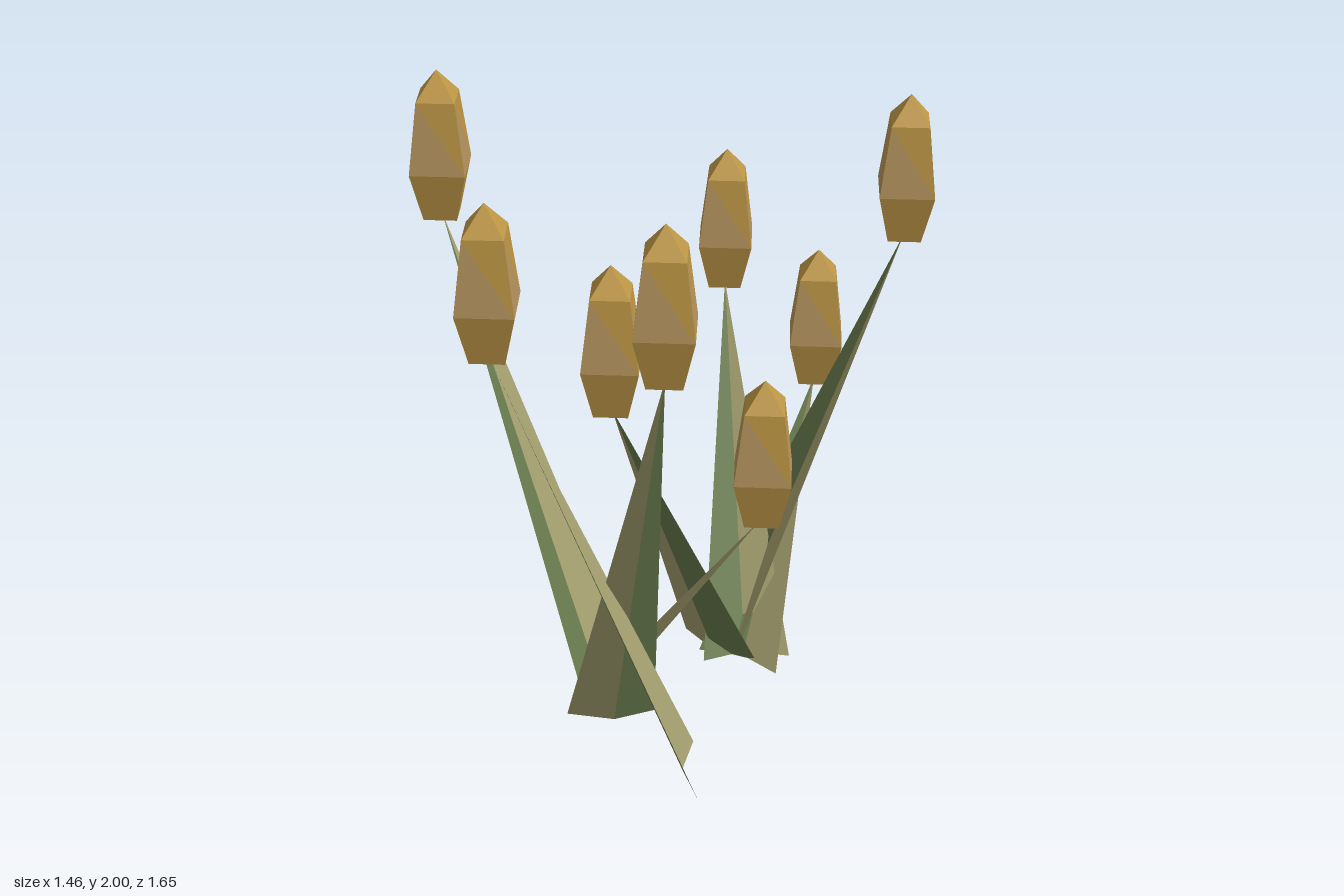
import * as THREE from 'three';

const mat = (name, color, opts = {}) => {
  const m = new THREE.MeshStandardMaterial({ color, flatShading: true, ...opts });
  m.name = name;
  return m;
};

// tip: base point of the flower head; khaki / green: outer corners [x, z] of the folded blade on the ground
const STEMS = [
  { tip: [-0.62, 1.53, 0.085], khaki: [-0.02, 0.0], green: [-0.05, 0.28] },
  { tip: [-0.11, 1.47, 0.71], khaki: [0.35, 0.31], green: [0.48, 0.56] },
  { tip: [0.43, 1.52, 0.7], khaki: [-0.07, 0.36], green: [0.17, 0.22] },
  { tip: [0.62, 1.42, -0.61], khaki: [0.28, -0.16], green: [0.07, -0.36] },
  { tip: [0.0, 1.1, -0.65], khaki: [0.44, -0.24], green: [0.2, -0.09] },
  { tip: [0.105, 1.18, 0.38], khaki: [0.07, -0.23], green: [0.35, -0.17] },
  { tip: [0.3, 0.78, -0.715], khaki: [0.44, -0.13], green: [0.16, -0.14] },
  { tip: [0.53, 0.84, 0.24], khaki: [-0.07, 0.22], green: [0.0, -0.06] },
];

// Four-sided bud: small base, wide belly, narrow shoulder, pointed top
function headGeometry() {
  const profile = [[0, 0], [0.072, 0], [0.119, 0.16], [0.082, 0.385], [0, 0.47]]
    .map(([r, y]) => new THREE.Vector2(r, y));
  const g = new THREE.LatheGeometry(profile, 4, THREE.MathUtils.degToRad(-22));
  g.clearGroups();
  for (let side = 0; side < 4; side++) {
    const s = side * 24;
    g.addGroup(s, 6, 1);       // underside
    g.addGroup(s + 6, 6, 0);   // lower band
    g.addGroup(s + 12, 3, 1);  // belly facet
    g.addGroup(s + 15, 9, 0);  // upper belly facet and point
  }
  return g;
}

function triangle(a, b, c) {
  const g = new THREE.BufferGeometry().setFromPoints([a, b, c]);
  g.computeVertexNormals();
  return g;
}

export function createModel() {
  const gold = mat('gold', 0xbf9846);
  const tan = mat('tan', 0xb79560);
  const green = mat('leaf green', 0x697b4e, { side: THREE.DoubleSide });
  const khaki = mat('leaf khaki', 0xa5a070, { side: THREE.DoubleSide });

  const model = new THREE.Group();
  model.name = 'plant';
  const bud = headGeometry();

  for (const stem of STEMS) {
    const tip = new THREE.Vector3(...stem.tip);
    const k = new THREE.Vector3(stem.khaki[0], 0, stem.khaki[1]);
    const e = new THREE.Vector3(stem.green[0], 0, stem.green[1]);

    // Fold line sits a little toward the tip from the middle of the base
    const fold = k.clone().add(e).multiplyScalar(0.5);
    const lean = tip.clone().sub(fold).setY(0).normalize();
    fold.addScaledVector(lean, 0.04);

    const leaf = new THREE.Group();
    leaf.name = 'leaf';
    const halves = [
      ['khakiHalf', triangle(k, fold, tip), khaki],
      ['greenHalf', triangle(fold, e, tip), green],
    ];
    for (const [name, geometry, material] of halves) {
      const half = new THREE.Mesh(geometry, material);
      half.name = name;
      leaf.add(half);
    }

    const head = new THREE.Mesh(bud, [gold, tan]);
    head.name = 'flowerHead';
    head.position.copy(tip);
    model.add(leaf, head);
  }
  return model;
}
